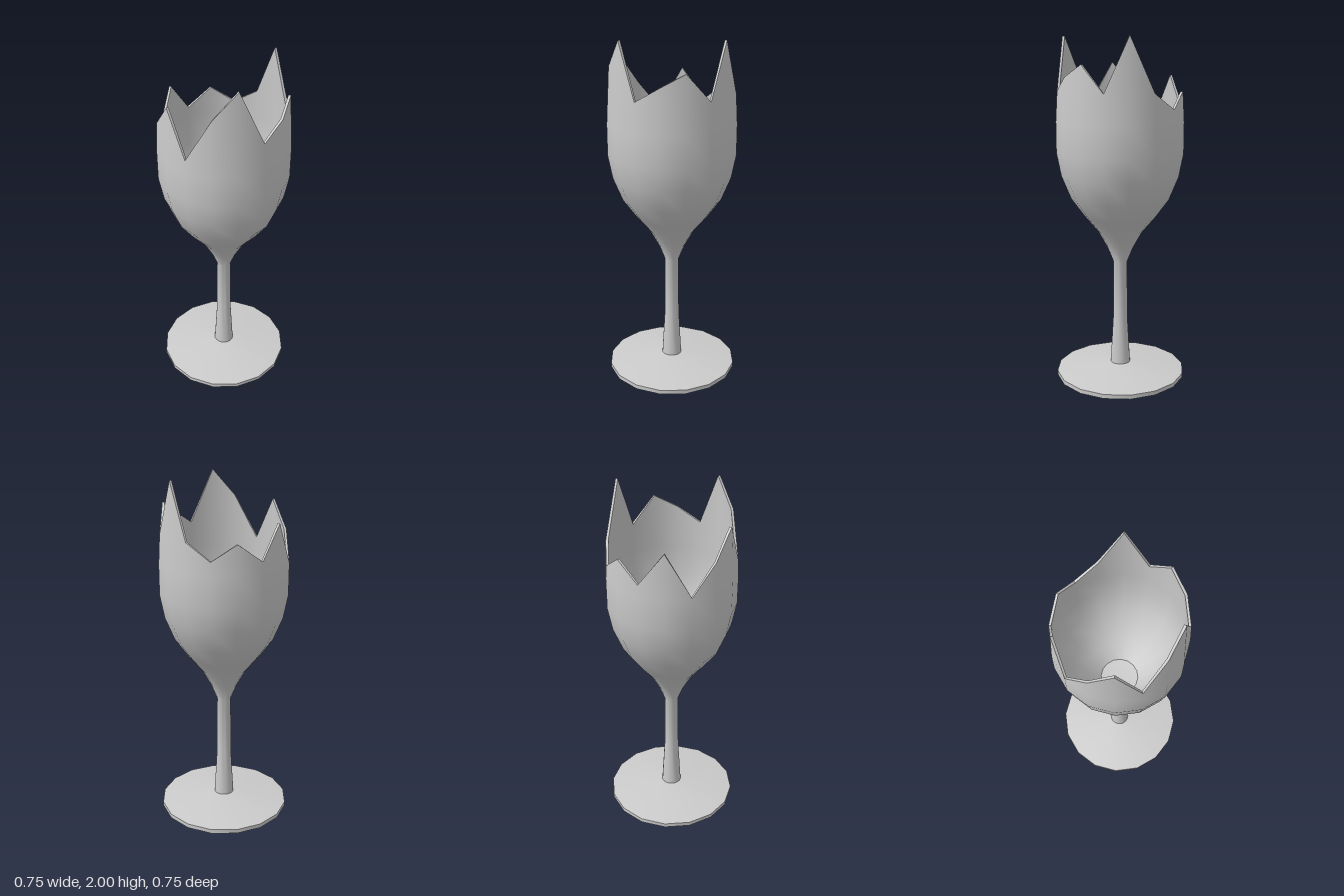
import * as THREE from 'three';
import { toCreasedNormals } from 'three/addons/utils/BufferGeometryUtils.js';

const SIDES = 16;
const WALL = 0.014;

const lathe = (profile) => new THREE.LatheGeometry(
  profile.map(([r, y]) => new THREE.Vector2(r, y)), SIDES, Math.PI / SIDES);

export function createModel() {
  const group = new THREE.Group();
  const material = new THREE.MeshStandardMaterial({ color: 0xcccccc, side: THREE.DoubleSide });
  const add = (name, geometry) => {
    const mesh = new THREE.Mesh(toCreasedNormals(geometry, 0.7), material);
    mesh.name = name;
    group.add(mesh);
  };

  // Shallow conical foot with a thin edge
  add('foot', lathe([[0, 0], [0.384, 0], [0.384, 0.025], [0.06, 0.067], [0.03, 0.068]]));

  // Stem flowing into the outside of the bowl
  const outside = [
    [0.059, 0.066], [0.043, 0.35], [0.041, 0.7], [0.075, 0.785], [0.13, 0.885], [0.21, 0.98],
    [0.286, 1.085], [0.341, 1.22], [0.367, 1.355], [0.367, 1.53],
  ];
  // Inside of the bowl, down to its floor
  const inside = [
    [0.353, 1.53], [0.353, 1.355], [0.326, 1.22], [0.27, 1.085], [0.195, 0.98], [0.11, 0.895], [0, 0.885],
  ];
  const profile = [...outside, [0.35, 1.7], [0.336, 1.7], ...inside];
  const vessel = lathe(profile);

  // Broken rim: one height for each side of the glass
  const rim = [2, 1.7, 1.78, 1.85, 1.7, 2, 1.7, 1.61, 1.7, 1.6, 1.78, 1.54, 1.7, 1.85, 1.61, 1.85];
  const position = vessel.attributes.position;
  for (let i = 0; i <= SIDES; i++) {
    const angle = Math.PI / SIDES + (i * 2 * Math.PI) / SIDES;
    const y = rim[i % SIDES];
    const outer = 0.367 - (y - 1.53) * 0.06;
    [outer, outer - WALL].forEach((r, k) => {
      position.setXYZ(i * profile.length + outside.length + k, r * Math.sin(angle), y, r * Math.cos(angle));
    });
  }
  add('stemAndBrokenBowl', vessel);

  return group;
}
